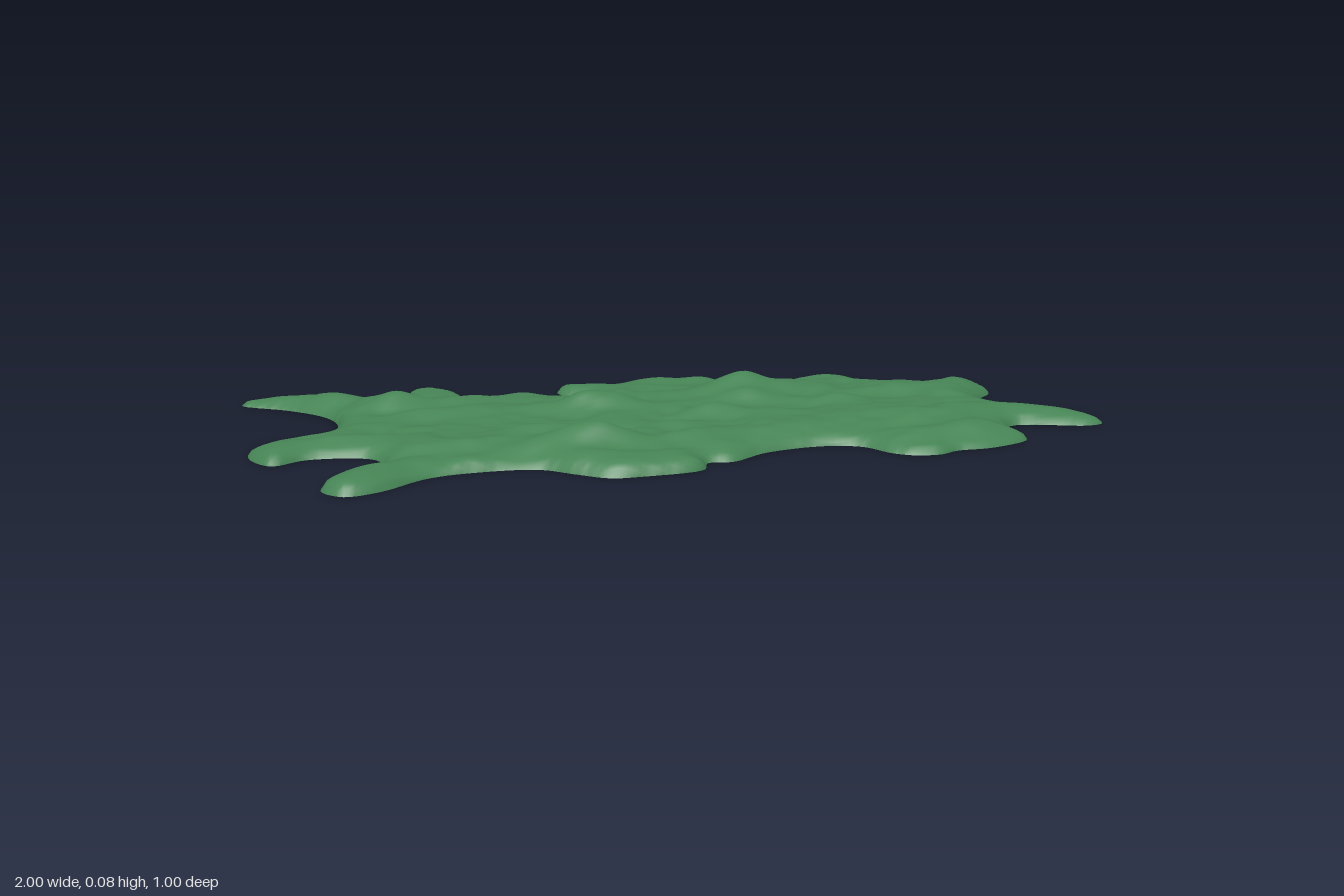
import * as THREE from 'three';

// Ragged outline of the patch as x, z pairs
const OUTLINE = [
  -1, -0.335, -0.97, -0.365, -0.88, -0.373, -0.78, -0.35, -0.7, -0.32, -0.62, -0.32, -0.605, -0.41,
  -0.55, -0.437, -0.5, -0.4, -0.46, -0.345, -0.41, -0.31, -0.33, -0.325, -0.25, -0.305, -0.19, -0.31,
  -0.175, -0.35, -0.24, -0.4, -0.245, -0.44, -0.13, -0.452, -0.04, -0.468, 0.12, -0.462, 0.2, -0.425,
  0.28, -0.42, 0.33, -0.475, 0.4, -0.5, 0.48, -0.482, 0.53, -0.425, 0.66, -0.42, 0.74, -0.44,
  0.79, -0.4, 0.8, -0.35, 0.765, -0.29, 0.765, -0.2, 0.84, -0.165, 0.94, -0.13, 0.98, -0.09,
  1, -0.03, 0.96, -0.01, 0.88, -0.02, 0.785, -0.02, 0.775, 0.04, 0.795, 0.11, 0.7, 0.18,
  0.62, 0.2, 0.58, 0.23, 0.52, 0.235, 0.47, 0.21, 0.42, 0.155, 0.34, 0.14, 0.2, 0.19,
  0.12, 0.265, 0.065, 0.27, 0.05, 0.33, -0.08, 0.375, -0.15, 0.385, -0.22, 0.35, -0.3, 0.305,
  -0.42, 0.317, -0.53, 0.36, -0.63, 0.465, -0.7, 0.497, -0.75, 0.45, -0.72, 0.37, -0.645, 0.3,
  -0.64, 0.22, -0.67, 0.188, -0.8, 0.19, -0.87, 0.24, -0.92, 0.19, -0.93, 0.12, -0.88, 0.05,
  -0.775, 0, -0.755, -0.11, -0.79, -0.2, -0.88, -0.275,
];

// Lumps: x, z, added height, x radius, z radius
const LUMPS = [
  [-0.17, -0.12, 0.042, 0.1, 0.045], [-0.18, 0.2, 0.042, 0.09, 0.04], [0.2, -0.29, 0.044, 0.08, 0.06],
  [0.2, -0.2, 0.022, 0.06, 0.03], [0.1, -0.05, 0.022, 0.07, 0.035], [-0.62, -0.2, 0.022, 0.05, 0.04],
  [0.4, -0.16, 0.018, 0.06, 0.04], [0.72, -0.34, 0.015, 0.05, 0.05], [0.03, 0.14, 0.012, 0.09, 0.035],
  [-0.3, 0.1, 0.012, 0.1, 0.03], [0.55, -0.02, 0.01, 0.1, 0.03], [-0.05, -0.34, 0.012, 0.08, 0.04],
];

// Smooth value noise from hashed lattice points
const hash = (i, j) => {
  const s = Math.sin(i * 127.1 + j * 311.7) * 43758.5453;
  return s - Math.floor(s);
};
function noise(x, z) {
  const i = Math.floor(x), j = Math.floor(z);
  const u = THREE.MathUtils.smoothstep(x - i, 0, 1), v = THREE.MathUtils.smoothstep(z - j, 0, 1);
  const { lerp } = THREE.MathUtils;
  return lerp(lerp(hash(i, j), hash(i + 1, j), u), lerp(hash(i, j + 1), hash(i + 1, j + 1), u), v) - 0.5;
}

// Surface height: rounded rim, wrinkles running along x, and lumps
function heightAt(x, z, edge) {
  const t = Math.min(edge / 0.1, 1);
  const rim = Math.sqrt(1 - (1 - t) ** 2);
  let h = 0.036 + 0.02 * noise(x * 9, z * 17 + x * 3) + 0.008 * noise(x * 20 + 7, z * 34);
  for (const [cx, cz, a, rx, rz] of LUMPS) {
    h += a * Math.exp(-(((x - cx) / rx) ** 2) - ((z - cz) / rz) ** 2);
  }
  h *= 1 - 0.35 * THREE.MathUtils.smoothstep(Math.abs(x), 0.76, 0.98);
  return rim * h;
}

function patchGeometry() {
  const points = [];
  for (let i = 0; i < OUTLINE.length; i += 2) points.push(new THREE.Vector3(OUTLINE[i], 0, OUTLINE[i + 1]));
  const rim = new THREE.CatmullRomCurve3(points, true).getPoints(360);

  // Nearest rim point, and whether (x, z) lies inside the outline
  function probe(x, z) {
    let best = Infinity, inside = false, px = 0, pz = 0;
    for (let k = 0; k < rim.length - 1; k++) {
      const a = rim[k], b = rim[k + 1], dx = b.x - a.x, dz = b.z - a.z;
      const t = THREE.MathUtils.clamp(((x - a.x) * dx + (z - a.z) * dz) / (dx * dx + dz * dz || 1), 0, 1);
      const qx = a.x + dx * t, qz = a.z + dz * t, d = (x - qx) ** 2 + (z - qz) ** 2;
      if (d < best) { best = d; px = qx; pz = qz; }
      if ((a.z > z) !== (b.z > z) && x < a.x + ((z - a.z) / dz) * dx) inside = !inside;
    }
    return { inside, px, pz, edge: Math.sqrt(best) };
  }

  // Fine grid: corners outside the outline are pulled onto it
  const step = 0.0125, nx = 164, nz = 84;
  const top = [], base = [], inside = [], index = [];
  for (let j = 0; j <= nz; j++) {
    for (let i = 0; i <= nx; i++) {
      const x = (i - nx / 2) * step, z = (j - nz / 2) * step, p = probe(x, z);
      inside.push(p.inside);
      if (p.inside) top.push(x, heightAt(x, z, p.edge), z);
      else top.push(p.px, 0, p.pz);
      base.push(p.inside ? x : p.px, 0, p.inside ? z : p.pz);
    }
  }
  for (let j = 0; j < nz; j++) {
    for (let i = 0; i < nx; i++) {
      const a = j * (nx + 1) + i, b = a + 1, c = a + nx + 1, d = c + 1;
      if (inside[a] || inside[b] || inside[c] || inside[d]) index.push(a, c, b, b, c, d);
    }
  }
  const build = (positions, order) => {
    const g = new THREE.BufferGeometry();
    g.setAttribute('position', new THREE.Float32BufferAttribute(positions, 3));
    g.setIndex(order);
    g.computeVertexNormals();
    return g;
  };
  return { top: build(top, index), base: build(base, [...index].reverse()) };
}

export function createModel() {
  const group = new THREE.Group();
  group.name = 'mossPatch';
  const moss = new THREE.MeshStandardMaterial({ color: 0x468455 });
  moss.name = 'mossGreen';
  const { top, base } = patchGeometry();

  // Lumpy upper surface and flat underside
  for (const [name, geometry] of [['mossSurface', top], ['mossUnderside', base]]) {
    const mesh = new THREE.Mesh(geometry, moss);
    mesh.name = name;
    group.add(mesh);
  }
  return group;
}
